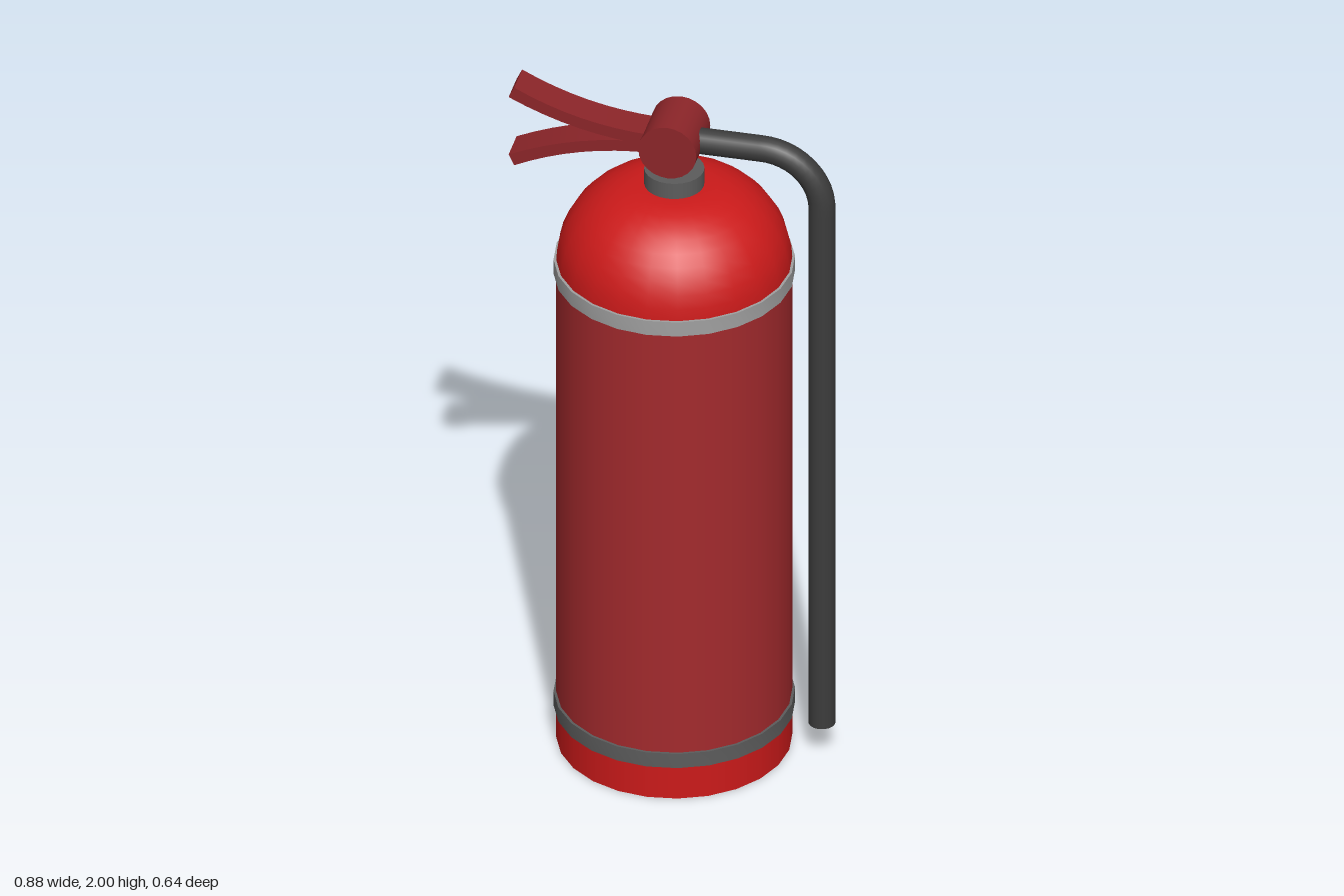
import * as THREE from 'three';
import { toCreasedNormals } from 'three/addons/utils/BufferGeometryUtils.js';

const SIDES = 24;
const R = 0.313;      // tank radius
const HEAD_Y = 1.878; // height of the valve axis

const paint = (color) => new THREE.MeshStandardMaterial({ color });
const brightRed = paint(0xcc1a1a);
const tankRed = paint(0xa32a2d);
const valveRed = paint(0x8c2529);
const lightGrey = paint(0xa0a0a0);
const midGrey = paint(0x5c5c5c);
const rubber = paint(0x3c3c3c);

export function createModel() {
  const model = new THREE.Group();
  model.name = 'fireExtinguisher';

  const add = (name, geometry, material, x = 0, y = 0, z = 0) => {
    const mesh = new THREE.Mesh(geometry, material);
    mesh.name = name;
    mesh.position.set(x, y, z);
    model.add(mesh);
    return mesh;
  };
  // Open tube wall between two heights
  const wall = (name, y0, y1, material) =>
    add(name, new THREE.CylinderGeometry(R, R, y1 - y0, SIDES, 1, true), material, 0, (y0 + y1) / 2);

  // Tank: foot, base, barrel and rounded shoulder
  wall('foot', 0, 0.12, brightRed);
  wall('barrel', 0.12, 1.48, tankRed);
  add('base', new THREE.CircleGeometry(R, SIDES), midGrey).rotation.x = Math.PI / 2;
  const shoulder = [new THREE.Vector2(R, 1.48)];
  for (let i = 0; i <= 10; i++) {
    const a = (i / 10) * Math.PI / 2;
    shoulder.push(new THREE.Vector2(0.08 + (R - 0.08) * Math.cos(a), 1.495 + 0.24 * Math.sin(a)));
  }
  shoulder.push(new THREE.Vector2(0, 1.735));
  add('shoulder', new THREE.LatheGeometry(shoulder, SIDES), brightRed);

  // Raised bands around the tank
  const band = (name, y, material) => {
    const profile = [[R, -0.022], [0.32, -0.022], [0.32, 0.022], [R, 0.022]]
      .map(([r, h]) => new THREE.Vector2(r, h));
    add(name, toCreasedNormals(new THREE.LatheGeometry(profile, SIDES), 0.6), material, 0, y);
  };
  band('lowerBand', 0.122, midGrey);
  band('upperBand', 1.478, lightGrey);

  // Collar, neck and cross-wise valve head
  add('collar', new THREE.CylinderGeometry(0.08, 0.08, 0.055, SIDES), midGrey, 0, 1.755);
  add('neck', new THREE.CylinderGeometry(0.043, 0.043, 0.08, SIDES), valveRed, 0, 1.82);
  add('valveHead', new THREE.CylinderGeometry(0.079, 0.079, 0.16, SIDES), valveRed, 0, HEAD_Y)
    .rotation.x = Math.PI / 2;

  // Curved levers, mirrored about the valve axis
  const lever = (name, side) => {
    const shape = new THREE.Shape();
    shape.moveTo(-0.05, side * 0.028);
    shape.quadraticCurveTo(-0.25, side * 0.032, -0.425, side * 0.122);
    shape.lineTo(-0.44, side * 0.09);
    shape.quadraticCurveTo(-0.25, side * -0.002, -0.05, side * -0.005);
    shape.closePath();
    const geometry = new THREE.ExtrudeGeometry(shape, { depth: 0.092, bevelEnabled: false, curveSegments: 8 });
    add(name, toCreasedNormals(geometry, 0.6), valveRed, 0, HEAD_Y, -0.046);
  };
  lever('upperLever', 1);
  lever('lowerLever', -1);

  // Hose: out of the head, round a quarter bend and down the side
  const path = new THREE.CurvePath();
  const bendStart = new THREE.Vector3(0.24, HEAD_Y, 0);
  const bendEnd = new THREE.Vector3(0.402, 1.716, 0);
  const k = 0.162 * 0.5523;
  path.add(new THREE.LineCurve3(new THREE.Vector3(0.05, HEAD_Y, 0), bendStart));
  path.add(new THREE.CubicBezierCurve3(bendStart, new THREE.Vector3(0.24 + k, HEAD_Y, 0),
    new THREE.Vector3(0.402, 1.716 + k, 0), bendEnd));
  path.add(new THREE.LineCurve3(bendEnd, new THREE.Vector3(0.402, 0.1, 0)));
  add('hose', new THREE.TubeGeometry(path, 90, 0.036, 16), rubber);
  add('hoseEnd', new THREE.CircleGeometry(0.036, 16), rubber, 0.402, 0.1).rotation.x = Math.PI / 2;

  return model;
}
